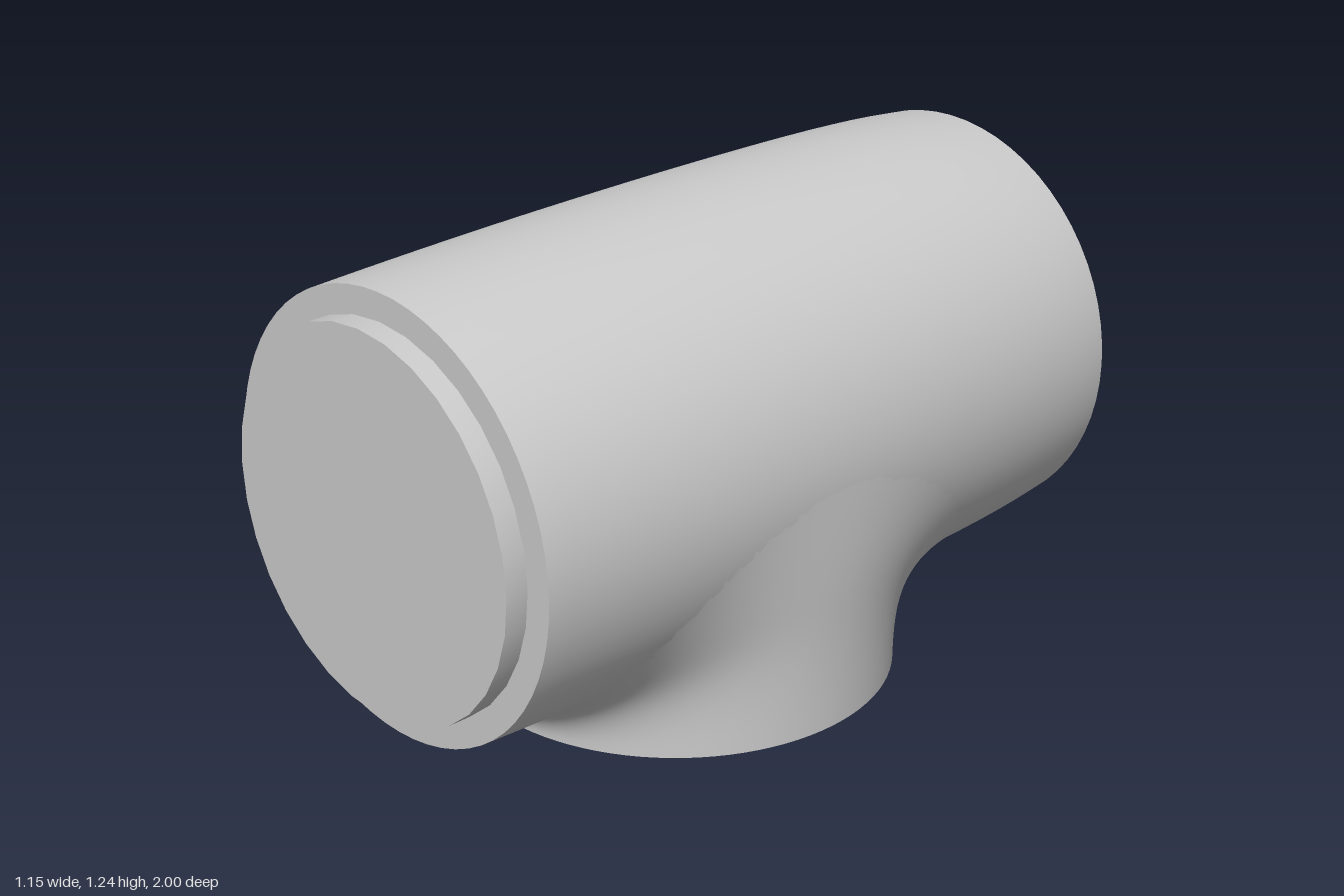
import * as THREE from 'three';
import { toCreasedNormals } from 'three/addons/utils/BufferGeometryUtils.js';

const AXIS_Y = 0.667; // height of the barrel axis
const NECK_Z = 0.04; // centre of the neck along the barrel
const NECK_R = 0.555;

const material = new THREE.MeshStandardMaterial({ color: 0xcccccc });

function addMesh(group, name, geometry) {
  const mesh = new THREE.Mesh(geometry, material);
  mesh.name = name;
  group.add(mesh);
  return mesh;
}

// Turned part from [radius, height] pairs, with sharp edges kept.
function turned(profile, sides) {
  const points = profile.map(([r, h]) => new THREE.Vector2(r, h));
  return toCreasedNormals(new THREE.LatheGeometry(points, sides), 0.5);
}

// Turned part whose axis runs along z at the barrel height.
function turnedAlongZ(profile, sides) {
  return turned(profile, sides).rotateX(Math.PI / 2).translate(0, AXIS_Y, 0);
}

// The barrel bulges gently in the middle and tapers more at the back.
function barrelRadius(z) {
  return 0.573 - 0.02 * z * z - (z < 0 ? 0.016 * z ** 6 : 0);
}

// Neck skin: each strand rises from the base rim and flares into the barrel.
function neckGeometry(sides = 96, steps = 16) {
  const positions = [];
  const indices = [];
  for (let i = 0; i < sides; i++) {
    const a = (i / sides) * Math.PI * 2;
    const base = new THREE.Vector3(NECK_R * Math.cos(a), 0, NECK_Z + NECK_R * Math.sin(a));
    const phi = (Math.PI / 2) * Math.cos(a);
    const z = NECK_Z + 0.74 * Math.sin(a);
    const normal = new THREE.Vector3(Math.sin(phi), -Math.cos(phi), 0);
    const contact = normal.clone().multiplyScalar(barrelRadius(z) - 0.001);
    contact.y += AXIS_Y;
    contact.z = z;
    const tangent = base.clone().sub(contact).projectOnPlane(normal);
    const curve = new THREE.CubicBezierCurve3(
      base,
      base.clone().add(new THREE.Vector3(0, contact.y * 0.55, 0)),
      contact.clone().addScaledVector(tangent, 0.55),
      contact
    );
    for (let j = 0; j <= steps; j++) positions.push(...curve.getPoint(j / steps).toArray());
    const here = i * (steps + 1);
    const next = ((i + 1) % sides) * (steps + 1);
    for (let j = 0; j < steps; j++) {
      indices.push(here + j, here + j + 1, next + j);
      indices.push(next + j, here + j + 1, next + j + 1);
    }
  }
  const geometry = new THREE.BufferGeometry();
  geometry.setAttribute('position', new THREE.Float32BufferAttribute(positions, 3));
  geometry.setIndex(indices);
  geometry.computeVertexNormals();
  return geometry;
}

export function createModel() {
  const model = new THREE.Group();
  model.name = 'teeHousing';

  // Barrel with flat end shoulders
  const barrel = [[0.3, -0.955]];
  for (let i = 0; i <= 24; i++) {
    const z = -0.955 + (1.895 * i) / 24;
    barrel.push([barrelRadius(z), z]);
  }
  barrel.push([0.3, 0.94]);
  addMesh(model, 'barrel', turnedAlongZ(barrel, 64));

  // Short spigot closing the front
  addMesh(model, 'frontSpigot', turnedAlongZ([[0.485, 0.92], [0.485, 1], [0, 1]], 32));

  // Rounded back cap with a shallow dished centre
  addMesh(model, 'backCap', turnedAlongZ([
    [0, -0.965], [0.32, -0.965], [0.35, -0.968], [0.375, -0.98], [0.39, -0.995],
    [0.405, -1], [0.43, -0.999], [0.465, -0.992], [0.495, -0.98], [0.515, -0.965],
    [0.522, -0.95],
  ], 64));

  // Neck blending into the underside of the barrel
  addMesh(model, 'neck', neckGeometry());

  // Rim and recessed floor of the bottom opening
  const rim = turned([[0, 0.06], [0.515, 0.06], [0.515, 0], [NECK_R, 0]], 96);
  addMesh(model, 'neckRim', rim).position.z = NECK_Z;

  return model;
}
